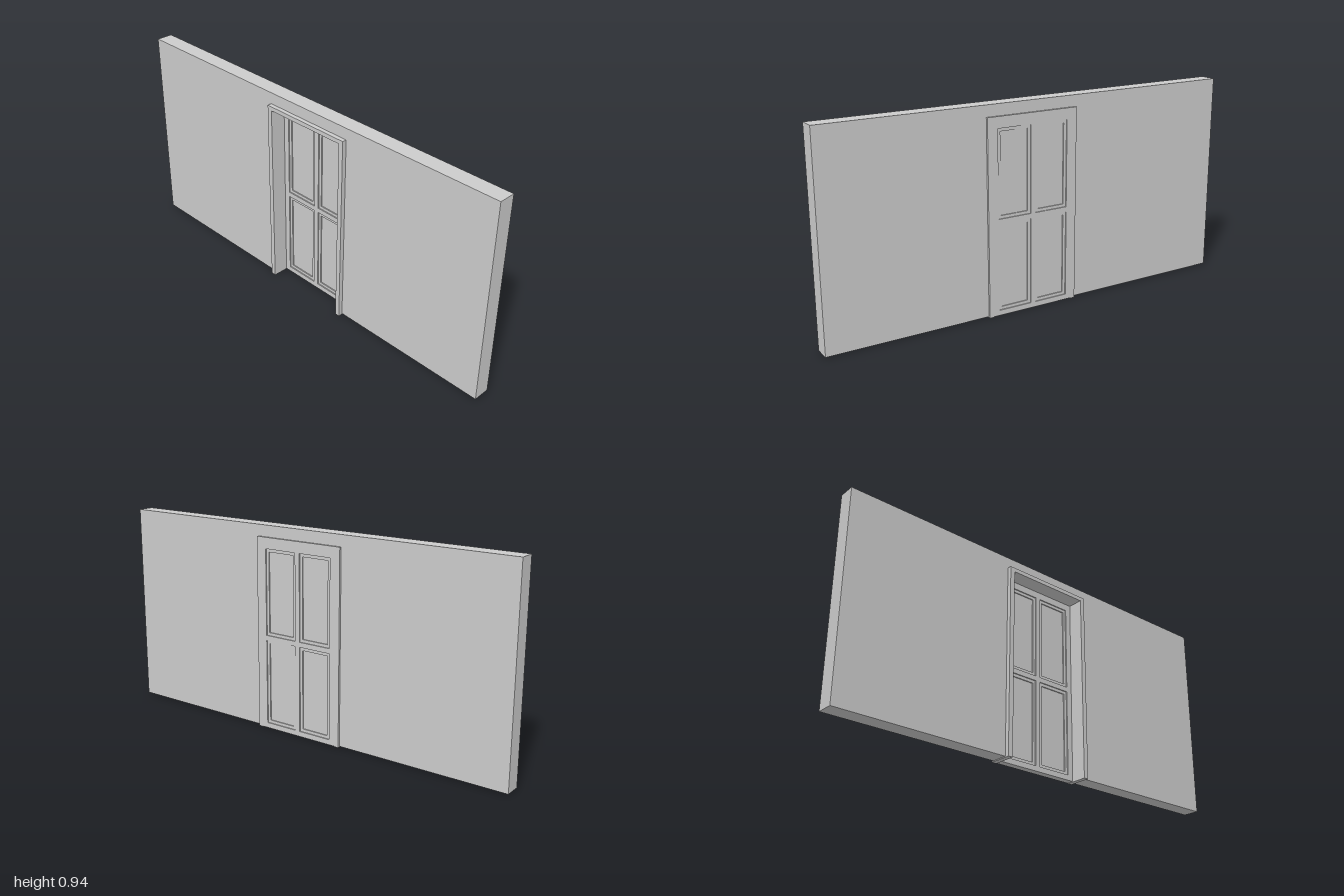
import * as THREE from 'three';

const material = new THREE.MeshStandardMaterial({ color: 0xcccccc, flatShading: true });

// Closed outline of a rectangle, as a Shape or a Path
function rect(Type, x0, x1, y0, y1) {
  const r = new Type();
  r.moveTo(x0, y0);
  r.lineTo(x1, y0);
  r.lineTo(x1, y1);
  r.lineTo(x0, y1);
  r.closePath();
  return r;
}

// Extrude a flat outline between two z planes
function slab(name, shape, z0, z1) {
  const geometry = new THREE.ExtrudeGeometry(shape, { depth: z1 - z0, bevelEnabled: false });
  geometry.translate(0, 0, z0);
  const mesh = new THREE.Mesh(geometry, material);
  mesh.name = name;
  return mesh;
}

// Upright arch outline, open at the floor
function arch(x0, x1, y0, y1, ix0, ix1, iy1) {
  return new THREE.Shape([
    [x0, y0], [ix0, y0], [ix0, iy1], [ix1, iy1],
    [ix1, y0], [x1, y0], [x1, y1], [x0, y1],
  ].map(([x, y]) => new THREE.Vector2(x, y)));
}

export function createModel() {
  const model = new THREE.Group();
  model.name = 'wallWithDoor';

  const cx = 0.029;                       // middle of the doorway
  const outer = [-0.195, 0.252, 0.888];   // frame outside
  const inner = [-0.172, 0.23, 0.869];    // frame inside

  // Wall with its doorway
  model.add(slab('wall',
    arch(-1, 1, 0.004, 0.94, outer[0] + 0.005, outer[1] - 0.005, outer[2] - 0.005),
    -0.043, 0.033));

  // Door frame through the wall
  model.add(slab('doorFrame',
    arch(outer[0], outer[1], 0, outer[2], inner[0], inner[1], inner[2]),
    -0.053, 0.053));

  // Door leaf, flush with the back of the frame
  const door = new THREE.Group();
  door.name = 'door';
  model.add(door);
  const z0 = -0.053, z1 = -0.02, step = 0.005, lip = 0.014;
  const leaf = rect(THREE.Shape, inner[0], inner[1], 0.002, inner[2]);
  for (const side of [-1, 1]) {
    const [x0, x1] = [cx + side * 0.012, cx + side * 0.174].sort((a, b) => a - b);
    for (const [y0, y1] of [[0.026, 0.42], [0.443, 0.837]]) {
      leaf.holes.push(rect(THREE.Path, x0, x1, y0, y1));

      // Stepped moulding around a thinner recessed panel
      const moulding = rect(THREE.Shape, x0, x1, y0, y1);
      moulding.holes.push(rect(THREE.Path, x0 + lip, x1 - lip, y0 + lip, y1 - lip));
      door.add(slab('panelMoulding', moulding, z0 + step, z1 - step));
      door.add(slab('doorPanel',
        rect(THREE.Shape, x0 + lip, x1 - lip, y0 + lip, y1 - lip),
        z0 + 2 * step, z1 - 2 * step));
    }
  }
  door.add(slab('doorLeaf', leaf, z0, z1));

  return model;
}
